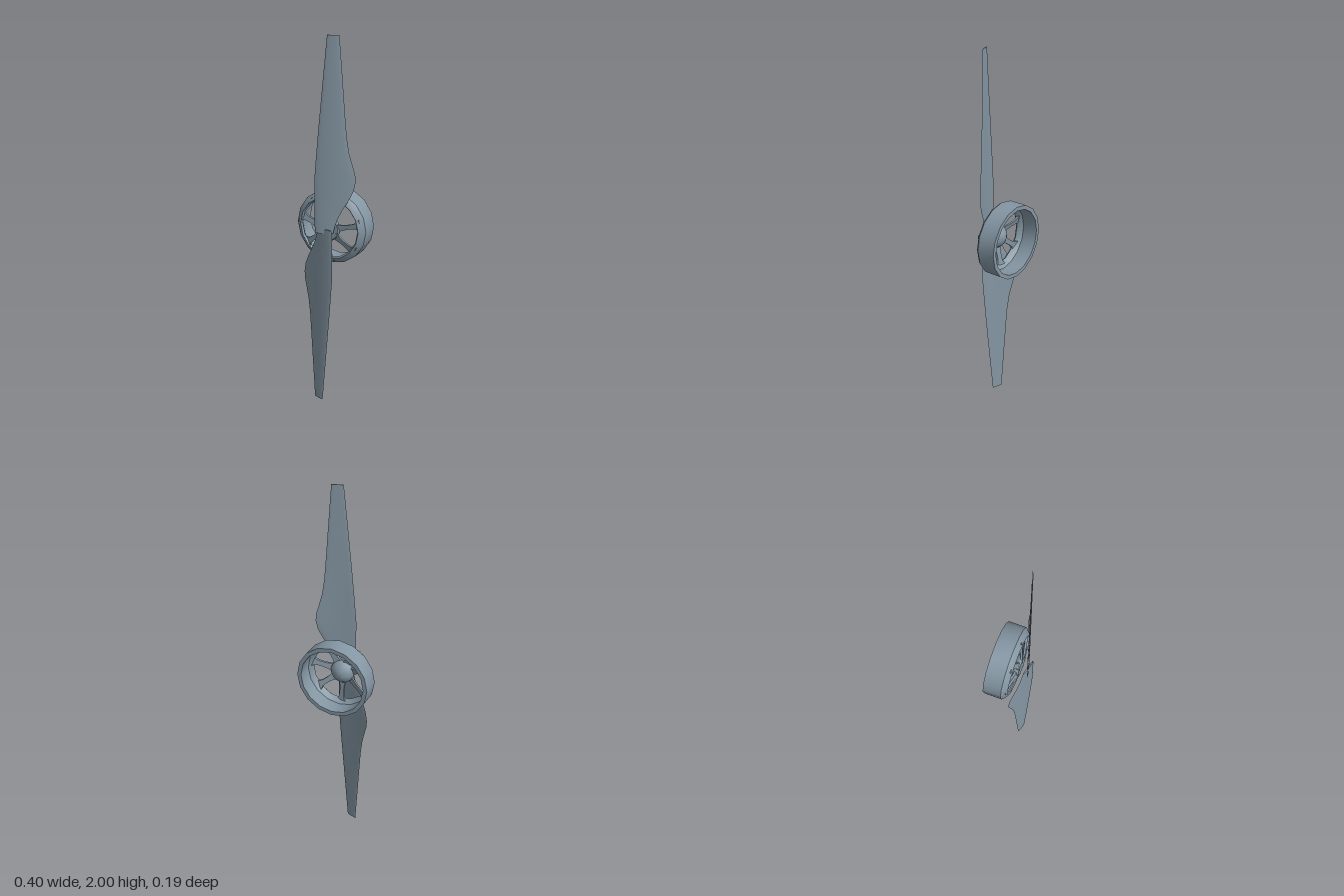
import * as THREE from 'three';
import { toCreasedNormals } from 'three/addons/utils/BufferGeometryUtils.js';

const metal = new THREE.MeshStandardMaterial({ color: 0x8496a3 });
metal.name = 'blueGreyMetal';

function part(name, geometry, crease) {
  const mesh = new THREE.Mesh(toCreasedNormals(geometry, crease), metal);
  mesh.name = name;
  return mesh;
}

// Turned part whose axis points along z; points are [radius, z]
function turned(name, points, sides, crease) {
  const g = new THREE.LatheGeometry(points.map(p => new THREE.Vector2(...p)), sides);
  return part(name, g.rotateX(Math.PI / 2), crease);
}

// Thin cambered blade, lofted from chord sections [height above hub, left x, right x]
function bladeGeometry() {
  const stations = [
    [-0.012, -0.046, 0.044], [0.025, -0.05, 0.052], [0.07, -0.05, 0.066], [0.12, -0.05, 0.09],
    [0.17, -0.05, 0.118], [0.22, -0.05, 0.14], [0.27, -0.05, 0.15], [0.31, -0.047, 0.147],
    [0.36, -0.043, 0.134], [0.42, -0.038, 0.119], [0.5, -0.031, 0.108], [0.62, -0.02, 0.099],
    [0.8, -0.003, 0.087], [1, 0.016, 0.073],
  ];
  const n = 16, positions = [], index = [];
  for (const [y, x0, x1] of stations) {
    for (let i = 0; i < n; i++) {
      const a = (i / n) * Math.PI * 2;
      const x = (x0 + x1) / 2 + (x1 - x0) / 2 * Math.cos(a);
      const thick = 0.0045 * (1 - 0.4 * y);
      positions.push(x, y, 0.08 - 0.26 * x - 0.8 * x * x + thick * Math.sin(a));
    }
  }
  for (let s = 0; s < stations.length - 1; s++) {
    for (let i = 0; i < n; i++) {
      const a = s * n + i, b = s * n + (i + 1) % n;
      index.push(a, a + n, b, b, a + n, b + n);
    }
  }
  // End caps
  const last = (stations.length - 1) * n;
  for (let i = 1; i < n - 1; i++) {
    index.push(0, i, i + 1, last, last + i + 1, last + i);
  }
  const g = new THREE.BufferGeometry();
  g.setAttribute('position', new THREE.Float32BufferAttribute(positions, 3));
  g.setIndex(index);
  return g;
}

// Spoke that flares into the hub and the rim, sloping back and twisted
function spokeGeometry() {
  const s = new THREE.Shape();
  s.moveTo(0.045, -0.024);
  s.quadraticCurveTo(0.1, -0.006, 0.15, -0.016);
  s.lineTo(0.178, -0.036);
  s.lineTo(0.178, 0.036);
  s.lineTo(0.15, 0.016);
  s.quadraticCurveTo(0.1, 0.006, 0.045, 0.024);
  const g = new THREE.ExtrudeGeometry(s, { depth: 0.012, bevelEnabled: false, curveSegments: 5 });
  const p = g.attributes.position;
  for (let i = 0; i < p.count; i++) {
    const r = p.getX(i);
    p.setZ(i, p.getZ(i) + 0.03 - (r - 0.045) * 0.2 + p.getY(i) * 0.25);
  }
  return g;
}

export function createModel() {
  const model = new THREE.Group();
  model.name = 'propellerAndMotor';

  // Two blades, half a turn apart
  for (const [name, turn] of [['upperBlade', 0], ['lowerBlade', Math.PI]]) {
    const blade = part(name, bladeGeometry(), 0.9);
    blade.rotation.z = turn;
    blade.position.y = 1;
    model.add(blade);
  }

  // Motor bell: faceted rim, hub and spokes
  const motor = new THREE.Group();
  motor.name = 'motorBell';
  motor.position.y = 1;
  motor.add(turned('rim', [
    [0.178, -0.098], [0.2, -0.098], [0.2, 0], [0.19, 0.013], [0.168, 0.028],
    [0.16, 0.018], [0.168, 0.002], [0.18, -0.012], [0.178, -0.098],
  ], 16, 0.6));
  motor.add(turned('hub', [
    [0, -0.018], [0.025, -0.014], [0.048, 0], [0.063, 0.02], [0.066, 0.035],
    [0.06, 0.044], [0, 0.045],
  ], 14, 0.9));
  const count = 7;
  for (let i = 0; i < count; i++) {
    const spoke = part('spoke', spokeGeometry(), 0.6);
    spoke.rotation.z = 0.2 + (i / count) * Math.PI * 2;
    motor.add(spoke);
  }
  model.add(motor);
  return model;
}
